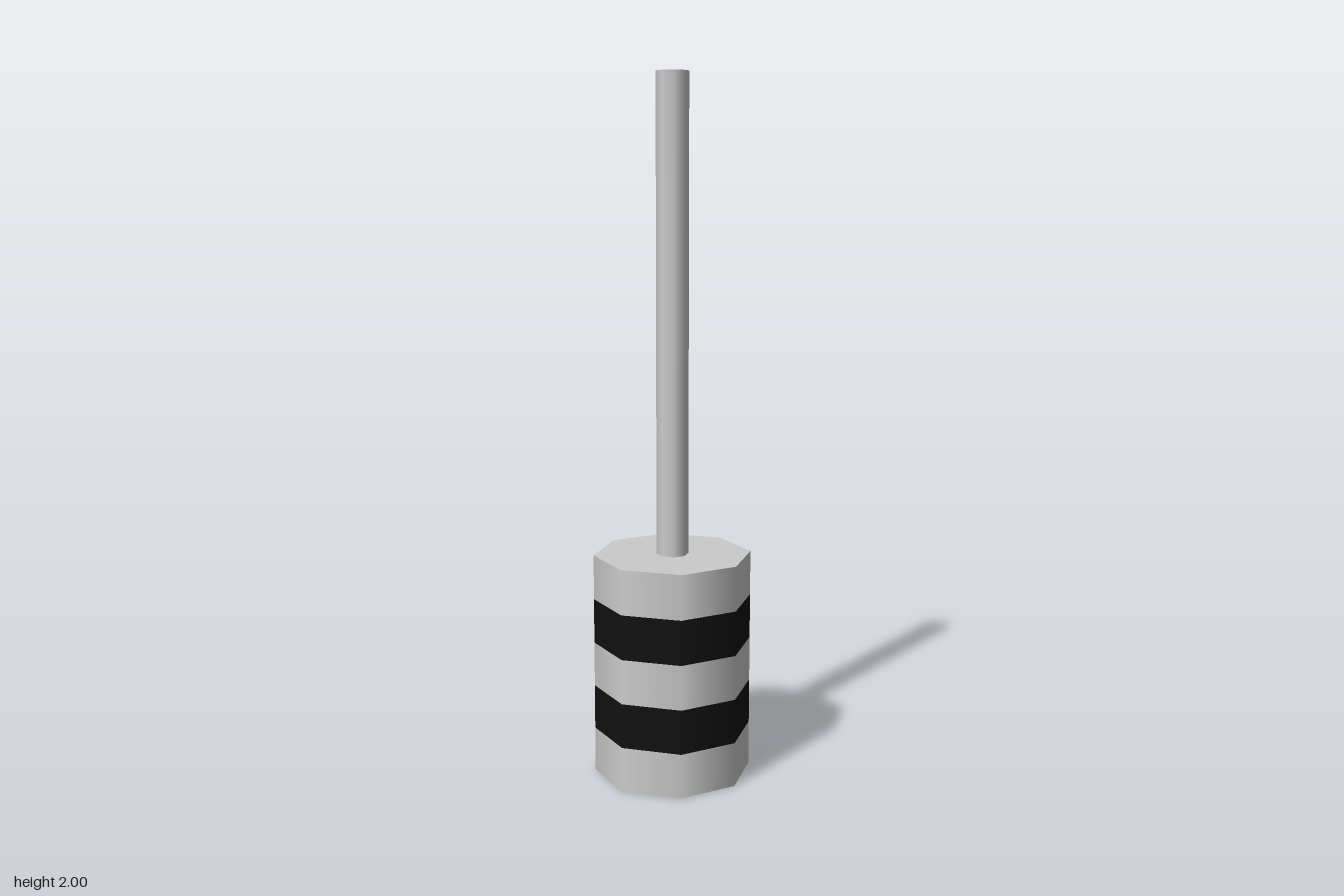
import * as THREE from 'three';

const SIDES = 8;
const BODY_RADIUS = 0.227;
const ROD_RADIUS = 0.046;
const BAND_HEIGHT = 0.13;
const BAND_COUNT = 5;
const TOTAL_HEIGHT = 2;

export function createModel() {
  const model = new THREE.Group();
  model.name = 'stripedPlunger';

  const grey = new THREE.MeshStandardMaterial({ color: 0xcccccc, side: THREE.DoubleSide });
  const black = new THREE.MeshStandardMaterial({ color: 0x111111, side: THREE.DoubleSide });

  const add = (parent, name, geometry, material, y) => {
    const mesh = new THREE.Mesh(geometry, material);
    mesh.name = name;
    mesh.position.y = y;
    parent.add(mesh);
    return mesh;
  };

  // Hollow body: stacked open bands, alternately grey and black
  const body = new THREE.Group();
  body.name = 'body';
  model.add(body);
  const bandGeometry = new THREE.CylinderGeometry(BODY_RADIUS, BODY_RADIUS, BAND_HEIGHT, SIDES, 1, true);
  for (let i = 0; i < BAND_COUNT; i++) {
    const dark = i % 2 === 1;
    add(body, dark ? 'blackBand' : 'greyBand', bandGeometry, dark ? black : grey, (i + 0.5) * BAND_HEIGHT);
  }

  // Lid closing the body at the top; the underside stays open
  const bodyTop = BAND_COUNT * BAND_HEIGHT;
  const lid = new THREE.CircleGeometry(BODY_RADIUS, SIDES).rotateX(-Math.PI / 2);
  add(body, 'lid', lid, grey, bodyTop);

  // Rod standing on the lid
  const rodLength = TOTAL_HEIGHT - bodyTop;
  const rod = new THREE.CylinderGeometry(ROD_RADIUS, ROD_RADIUS, rodLength, SIDES);
  add(model, 'rod', rod, grey, bodyTop + rodLength / 2);

  return model;
}
